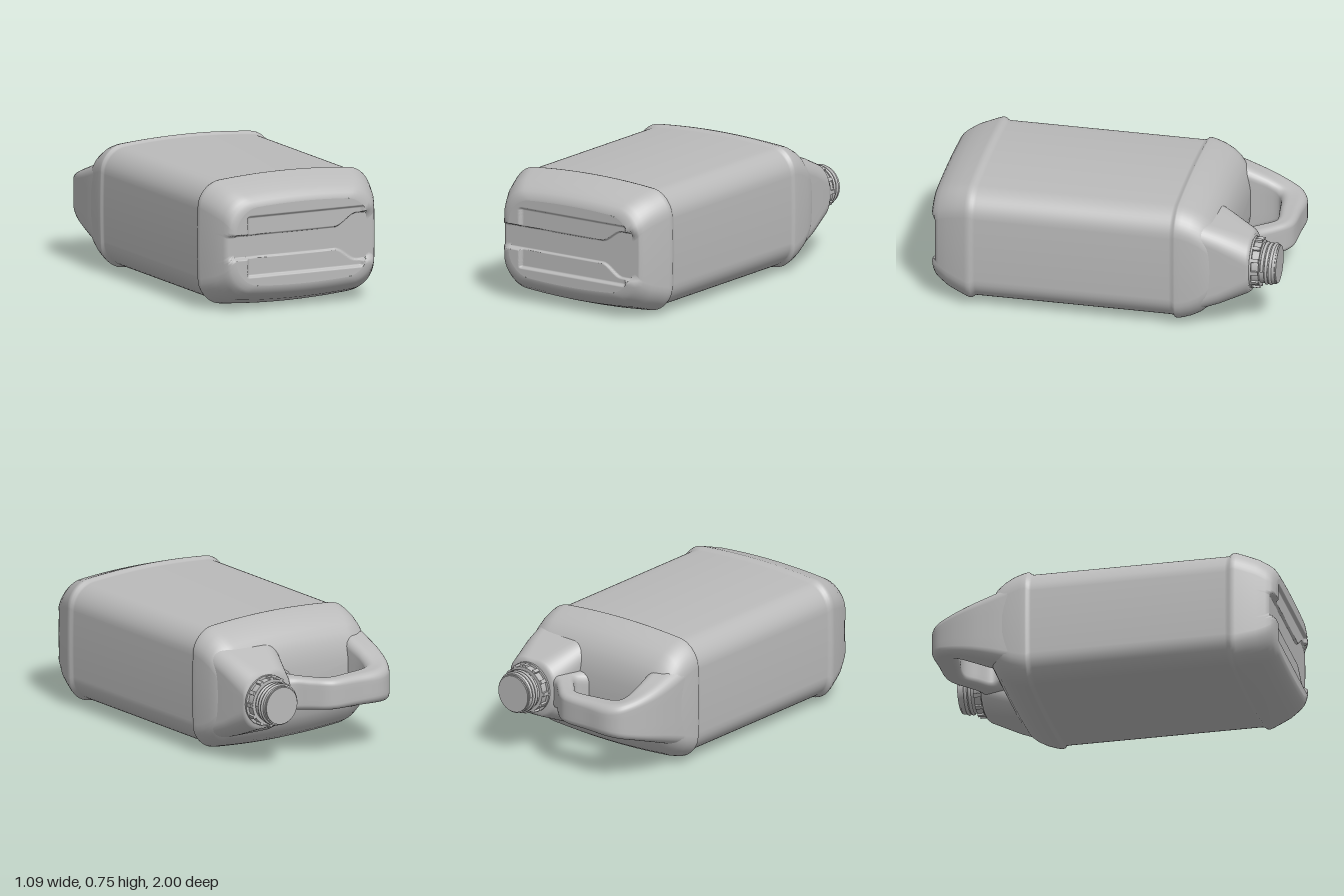
import * as THREE from 'three';

const CY = 0.375; // height of the long axis

// Rounded rectangle, counter-clockwise, evenly split sides and corners
function outline(a, b, r, nx = 24, ny = 44, nc = 10) {
  const pts = [];
  const corners = [[1, 1, 0], [-1, 1, 1], [-1, -1, 2], [1, -1, 3]];
  corners.forEach(([sx, sy, q], k) => {
    for (let i = 0; i <= nc; i++) {
      const t = (q + i / nc) * Math.PI / 2;
      pts.push([sx * (a - r) + r * Math.cos(t), sy * (b - r) + r * Math.sin(t)]);
    }
    const from = pts[pts.length - 1];
    const [tx, ty] = corners[(k + 1) % 4];
    const t = (q + 1) * Math.PI / 2;
    const to = [tx * (a - r) + r * Math.cos(t), ty * (b - r) + r * Math.sin(t)];
    const n = k % 2 ? ny : nx;
    for (let i = 1; i < n; i++) {
      pts.push([from[0] + (to[0] - from[0]) * i / n, from[1] + (to[1] - from[1]) * i / n]);
    }
  });
  return pts;
}

function geometryFrom(pos, idx) {
  const g = new THREE.BufferGeometry();
  g.setAttribute('position', new THREE.Float32BufferAttribute(pos, 3));
  g.setIndex(idx);
  g.computeVertexNormals();
  return g;
}

// Skin over a list of rings, with the last ring closed by a fan
function loft(rings) {
  const n = rings[0].length, idx = [], pos = rings.flat(2);
  for (let i = 0; i < rings.length - 1; i++) {
    for (let j = 0; j < n; j++) {
      const k = (j + 1) % n, A = i * n + j, B = A + n, C = (i + 1) * n + k, D = i * n + k;
      idx.push(A, B, C, A, C, D);
    }
  }
  const last = rings[rings.length - 1], base = (rings.length - 1) * n;
  const centre = [0, 1, 2].map((c) => last.reduce((s, p) => s + p[c], 0) / n);
  const m = pos.length / 3;
  pos.push(...centre);
  for (let j = 0; j < n; j++) idx.push(m, base + (j + 1) % n, base + j);
  return geometryFrom(pos, idx);
}

const step = THREE.MathUtils.smoothstep;

// Moulded recesses of the base: a long finger channel and two shallow pockets
function baseFloor(x, y) {
  const d = Math.abs(y - CY);
  const w = 0.066 + 0.07 * step(x, 0.21, 0.35);
  const channel = 1 - step(d, w - 0.006, w + 0.008);
  const pocket = (1 - step(d, 0.163, 0.178)) * step(x, -0.35, -0.335) * (1 - step(x, 0.37, 0.39));
  return 1 - Math.max(0.03 * channel, 0.018 * pocket);
}

// Bulges the sides of a section and presses the recesses in
function bodyPoint(px, py, a, b, z) {
  const x = px + 0.01 * (1 - (py / b) ** 2) * px / a;
  const y = CY + py + 0.1 * b * (1 - (px / a) ** 2) * py / b;
  return [x, y, z > 0.9 ? Math.min(z, baseFloor(x, y)) : z];
}

function bodySize(X, Y) {
  const a = X - 0.01, b = Y / 1.1;
  return [a, b, Math.min(0.125, b * 0.6)];
}

function bodyGeometry() {
  // z, half width, half height
  const sections = [
    [1, 0.42, 0.235], [0.998, 0.435, 0.247], [0.99, 0.453, 0.265], [0.977, 0.467, 0.283],
    [0.95, 0.48, 0.304], [0.9, 0.504, 0.332], [0.84, 0.525, 0.352], [0.79, 0.541, 0.368],
    [0.772, 0.545, 0.373], [0.757, 0.543, 0.37], [0.745, 0.537, 0.36], [0.73, 0.535, 0.358],
    [-0.385, 0.535, 0.358], [-0.4, 0.537, 0.361], [-0.41, 0.544, 0.371], [-0.42, 0.545, 0.373],
    [-0.45, 0.544, 0.366], [-0.5, 0.54, 0.348], [-0.55, 0.534, 0.32], [-0.59, 0.526, 0.285],
    [-0.62, 0.514, 0.242], [-0.64, 0.5, 0.2], [-0.654, 0.48, 0.15], [-0.664, 0.45, 0.09],
  ];
  return loft(sections.map(([z, X, Y]) => {
    const [a, b, r] = bodySize(X, Y);
    return outline(a, b, r).map(([px, py]) => bodyPoint(px, py, a, b, z));
  }));
}

function baseGeometry() {
  const [a, b, r] = bodySize(0.42, 0.235);
  const rows = 130, cols = 110, pos = [], idx = [];
  for (let i = 0; i <= rows; i++) {
    const py = -b + 2 * b * i / rows;
    const over = Math.max(0, Math.abs(py) - (b - r));
    const half = a - r + Math.sqrt(Math.max(0, r * r - over * over));
    for (let j = 0; j <= cols; j++) {
      pos.push(...bodyPoint(half * (2 * j / cols - 1), py, a, b, 1));
      if (i < rows && j < cols) {
        const A = i * (cols + 1) + j, D = A + cols + 1;
        idx.push(A, A + 1, D + 1, A, D + 1, D);
      }
    }
  }
  return geometryFrom(pos, idx);
}

function handleGeometry() {
  // outer x, outer z, inner x, inner z, half thickness
  const keys = [
    [-0.536, -0.48, -0.34, -0.5, 0.25], [-0.53, -0.62, -0.352, -0.66, 0.2],
    [-0.512, -0.76, -0.357, -0.76, 0.155], [-0.472, -0.88, -0.35, -0.815, 0.122],
    [-0.42, -0.96, -0.335, -0.838, 0.105], [-0.345, -0.996, -0.3, -0.85, 0.096],
    [-0.2, -0.993, -0.19, -0.866, 0.09], [-0.04, -0.985, -0.07, -0.88, 0.088],
    [0.015, -0.96, -0.025, -0.868, 0.088], [0.08, -0.9, 0.03, -0.81, 0.09],
    [0.15, -0.835, 0.082, -0.75, 0.095], [0.24, -0.8, 0.085, -0.715, 0.1],
    [0.26, -0.72, 0.06, -0.68, 0.1], [0.26, -0.64, 0.03, -0.65, 0.1],
  ];
  const outer = new THREE.CatmullRomCurve3(keys.map((k) => new THREE.Vector3(k[0], k[4], k[1])));
  const inner = new THREE.CatmullRomCurve3(keys.map((k) => new THREE.Vector3(k[2], k[4], k[3])));
  const rings = [];
  for (let i = 0; i <= 65; i++) {
    const o = outer.getPoint(i / 65), n = inner.getPoint(i / 65);
    const half = o.distanceTo(n) / 2, mid = o.clone().add(n).multiplyScalar(0.5);
    const dir = o.clone().sub(n).normalize();
    rings.push(outline(half, o.y, Math.min(half, o.y) * 0.65, 4, 4, 6)
      .map(([p, q]) => [mid.x + dir.x * p, CY - q, mid.z + dir.z * p]));
  }
  return loft(rings);
}

function neckGeometry() {
  // z, low x, high x, half height, corner radius
  const sections = [
    [-0.52, 0.06, 0.525, 0.28, 0.09], [-0.66, 0.112, 0.512, 0.232, 0.1],
    [-0.815, 0.162, 0.492, 0.167, 0.12], [-0.832, 0.17, 0.485, 0.157, 0.13],
    [-0.833, 0.2, 0.47, 0.13, 0.12],
  ];
  return loft(sections.map(([z, x0, x1, h, r]) => outline((x1 - x0) / 2, h, r, 4, 4, 10)
    .map(([px, py]) => [(x0 + x1) / 2 + px, CY + py, z])));
}

export function createModel() {
  const model = new THREE.Group();
  const plastic = new THREE.MeshStandardMaterial({ color: 0xbababa });
  plastic.name = 'greyPlastic';
  const add = (name, geometry, parent = model) => {
    const mesh = new THREE.Mesh(geometry, plastic);
    mesh.name = name;
    parent.add(mesh);
    return mesh;
  };

  add('body', bodyGeometry());
  add('base', baseGeometry());
  add('handle', handleGeometry());
  add('neck', neckGeometry());

  // Spout: its own axis is y, turned to point backwards
  const spout = new THREE.Group();
  spout.name = 'spout';
  spout.position.set(0.338, CY, 0);
  spout.rotation.x = -Math.PI / 2;
  model.add(spout);
  const ring = (name, r, y0, y1) =>
    add(name, new THREE.CylinderGeometry(r, r, y1 - y0, 64), spout).position.y = (y0 + y1) / 2;
  ring('flange', 0.147, 0.828, 0.843);
  ring('collar', 0.132, 0.84, 0.884);
  ring('spoutTube', 0.113, 0.82, 0.972);
  ring('spoutLip', 0.107, 0.97, 0.98);

  // Ratchet teeth around the collar
  for (let i = 0; i < 12; i++) {
    const t = i / 12 * Math.PI * 2;
    const tooth = add('ratchetTooth', new THREE.BoxGeometry(0.02, 0.042, 0.022), spout);
    tooth.position.set(Math.cos(t) * 0.134, 0.862, Math.sin(t) * 0.134);
    tooth.rotation.y = -t;
  }

  // Screw thread
  const helix = [];
  for (let i = 0; i <= 80; i++) {
    const t = i / 80 * Math.PI * 5;
    helix.push(new THREE.Vector3(Math.cos(t) * 0.113, 0.898 + 0.06 * i / 80, Math.sin(t) * 0.113));
  }
  add('thread', new THREE.TubeGeometry(new THREE.CatmullRomCurve3(helix), 200, 0.009, 8), spout);
  return model;
}
